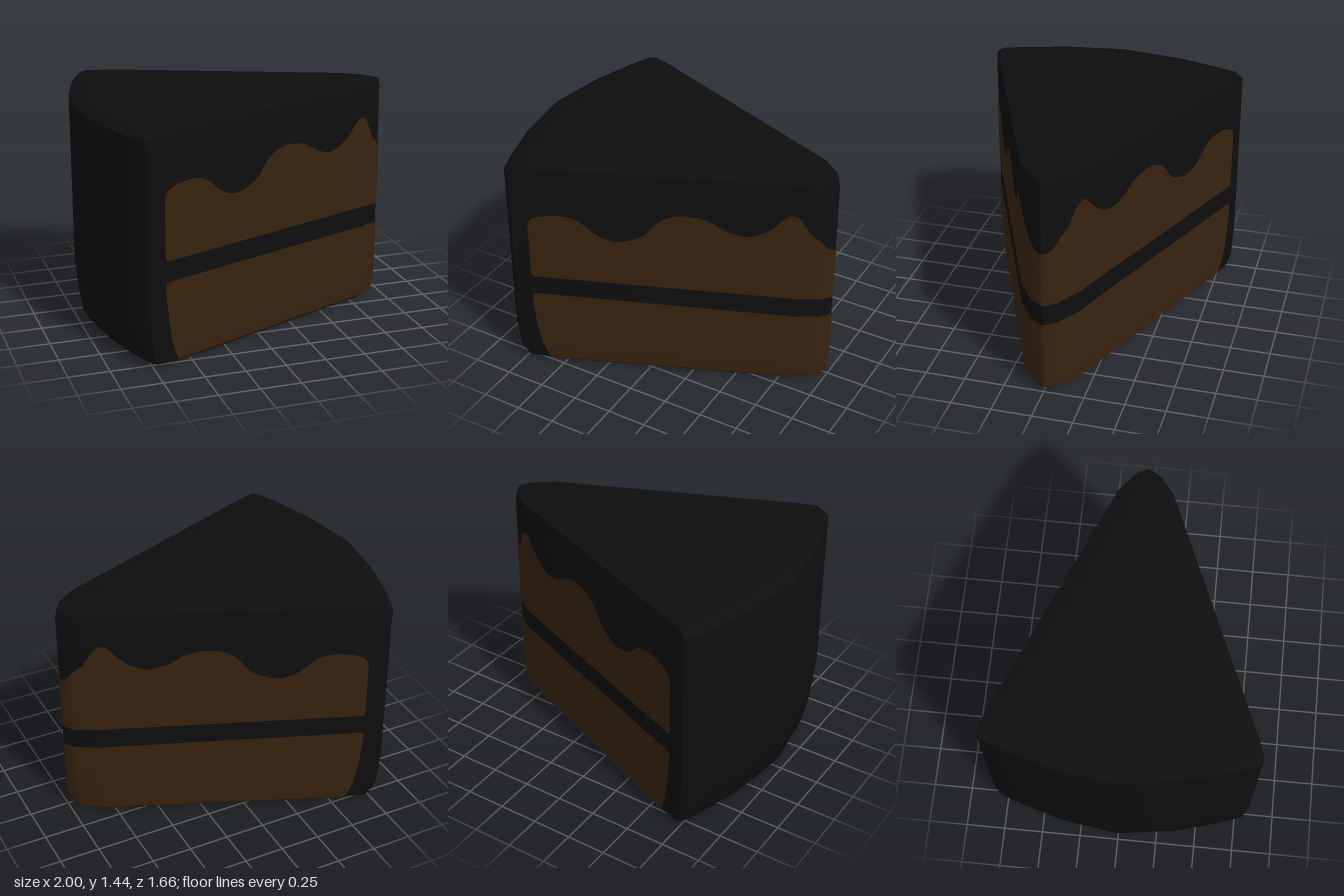
import * as THREE from 'three';
import { toCreasedNormals } from 'three/addons/utils/BufferGeometryUtils.js';

// Half of the slice outline (x, z), from the tip round to the middle of the back
const half = [[1, 0], [0.957, 0.078], [0.83, 0.175], [-0.66, 0.797], [-0.77, 0.83],
  [-0.81, 0.803], [-0.86, 0.67], [-0.945, 0.38], [-1, 0]];
// How far the outline shrinks (towards x = PIVOT) at each height
const profile = [[0, 0.11], [0.025, 0.035], [0.09, 0.012], [0.3, 0], [1.39, 0], [1.43, 0.028], [1.44, 0.11]];
const PIVOT = 0.6;
const LIFT = 0.004;

// Piecewise-linear lookup in a table sorted by ascending first column
function lookup(table, t) {
  if (t <= table[0][0]) return table[0][1];
  for (let i = 1; i < table.length; i++) {
    const [a, va] = table[i - 1], [b, vb] = table[i];
    if (t <= b) return va + (vb - va) * (t - a) / (b - a);
  }
  return table[table.length - 1][1];
}

// Surface over a grid of points: at(i, j) with i along the outline and j upwards
function gridGeometry(cols, rows, at, flip = false) {
  const positions = [], index = [];
  for (let j = 0; j < rows; j++) for (let i = 0; i < cols; i++) positions.push(...at(i, j));
  for (let j = 0; j < rows - 1; j++) {
    for (let i = 0; i < cols - 1; i++) {
      const a = j * cols + i, b = a + 1, c = a + cols, d = c + 1;
      if (flip) index.push(a, b, c, b, d, c);
      else index.push(a, c, b, b, c, d);
    }
  }
  const g = new THREE.BufferGeometry();
  g.setAttribute('position', new THREE.Float32BufferAttribute(positions, 3));
  g.setIndex(index);
  return toCreasedNormals(g, 0.7);
}

// Closed rings of the outline stacked by [height, shrink]; shrink 1 closes the end
function shell(levels) {
  const ring = [...half, ...half.slice(0, -1).reverse().map(([x, z]) => [x, -z])];
  return gridGeometry(ring.length, levels.length, (i, j) => {
    const [y, k] = levels[j], [x, z] = ring[i];
    return [PIVOT + (x - PIVOT) * (1 - k), y, z * (1 - k)];
  });
}

// Outward direction of the cut face, for x from the tip to the back corner
const wall = half.slice(0, 5).reverse();
const normals = half.slice(0, 5).map((p, i) => {
  const a = i ? half[i - 1] : [half[1][0], -half[1][1]], b = half[i + 1];
  const n = new THREE.Vector2(b[1] - a[1], a[0] - b[0]).normalize();
  return [p[0], n.x, n.y];
}).reverse();
const normalX = normals.map(n => [n[0], n[1]]);
const normalZ = normals.map(n => [n[0], n[2]]);

// Thin sponge face lying on one cut side, between two edge curves over x
function spongePanel(low, high, side) {
  const xs = [1, 0.957, 0.83, -0.66, -0.655, -0.645, -0.63];
  for (let i = 0; i <= 110; i++) xs.push(-0.67 + 1.67 * i / 110);
  const columns = [...new Set(xs)].sort((a, b) => b - a);
  const rows = 11;
  return gridGeometry(columns.length, rows, (i, j) => {
    const x = columns[i], t = (j / (rows - 1)) ** 2;
    const y = THREE.MathUtils.lerp(lookup(low, x), lookup(high, x), t);
    const s = 1 - lookup(profile, y);
    return [
      PIVOT + (x - PIVOT) * s + lookup(normalX, x) * LIFT,
      y,
      // both sides meet exactly at the tip
      side * (lookup(wall, x) * s + (x === 1 ? 0 : lookup(normalZ, x) * LIFT)),
    ];
  }, side < 0);
}

export function createModel() {
  const icing = new THREE.MeshStandardMaterial({ color: 0x0e0e0e });
  icing.name = 'dark icing';
  const sponge = new THREE.MeshStandardMaterial({ color: 0x38230f });
  sponge.name = 'brown sponge';

  const model = new THREE.Group();
  model.name = 'cakeSlice';
  const add = (name, geometry, material) => {
    const mesh = new THREE.Mesh(geometry, material);
    mesh.name = name;
    model.add(mesh);
  };

  // Icing body with its rounded top, and the bare underside
  add('icing', shell([...profile.slice(1), [1.44, 1]]), icing);
  add('underside', shell([[0, 1], profile[0], profile[1]]), sponge);

  // Wavy lower edge of the dripping icing
  const drip = new THREE.SplineCurve([
    [-0.67, 1.04], [-0.63, 1.09], [-0.5, 1.115], [-0.39, 1.09], [-0.285, 1.0], [-0.22, 0.968],
    [-0.165, 0.96], [-0.085, 0.98], [-0.01, 1.025], [0.05, 1.105], [0.13, 1.16], [0.21, 1.175],
    [0.33, 1.155], [0.44, 1.09], [0.545, 1.06], [0.625, 1.085], [0.69, 1.13], [0.76, 1.21],
    [0.8, 1.23], [0.84, 1.205], [0.895, 1.09], [0.945, 1.035], [0.98, 0.96], [1, 0.955],
  ].map(p => new THREE.Vector2(...p))).getPoints(200).map(p => [p.x, p.y]);

  // Edges of the filling layer and the slanted rear edge of the lower sponge
  const fillingTop = [[-0.67, 0.672], [-0.655, 0.657], [0.78, 0.635], [0.9, 0.625], [1, 0.605]];
  const fillingBottom = [[-0.67, 0.512], [-0.65, 0.53], [0.78, 0.502], [0.9, 0.493], [1, 0.475]];
  const base = [[-0.67, 0.49], [-0.655, 0.3], [-0.63, 0.025], [1, 0.025]];

  for (const [label, side] of [['front', 1], ['back', -1]]) {
    add(label + 'LowerSponge', spongePanel(base, fillingBottom, side), sponge);
    add(label + 'UpperSponge', spongePanel(fillingTop, drip, side), sponge);
  }
  return model;
}
